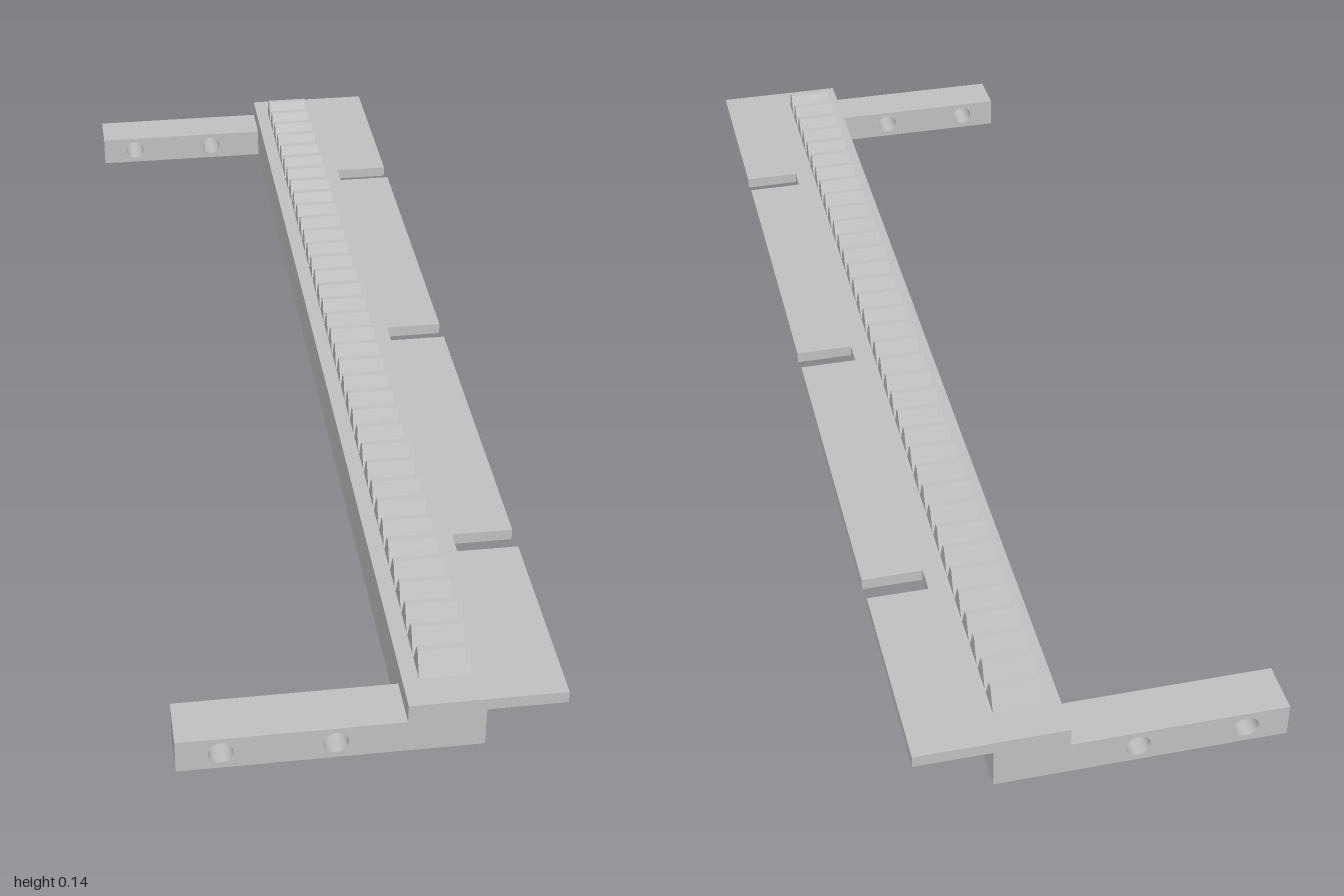
import * as THREE from 'three';

const HALF = 1.0925;    // half length of the bar
const FRONT = 0.322;    // depth to front edge and to the arm ends
const BACK = 0.057;     // back face of the bar
const BODY_TOP = 0.075;
const PLATE_TOP = 0.097;
const TOOTH_TOP = 0.14;

export function createModel() {
  const grey = new THREE.MeshStandardMaterial({ color: 0xc0c0c0 });
  grey.name = 'grey';

  const model = new THREE.Group();
  model.name = 'toothedRack';
  // The whole rack lies diagonally
  const rack = new THREE.Group();
  rack.name = 'rack';
  rack.rotation.y = Math.PI / 4;
  model.add(rack);

  const add = (name, geometry) => {
    const mesh = new THREE.Mesh(geometry, grey);
    mesh.name = name;
    rack.add(mesh);
    return mesh;
  };

  // Long bar under the plate
  const bodyDepth = 0.13;
  add('bar', new THREE.BoxGeometry(HALF * 2, BODY_TOP, bodyDepth))
    .position.set(0, BODY_TOP / 2, BACK + bodyDepth / 2);

  // Top plate with three notches in its front edge
  const outline = new THREE.Shape();
  outline.moveTo(-HALF, BACK);
  outline.lineTo(HALF, BACK);
  outline.lineTo(HALF, FRONT);
  for (const x of [0.69, 0, -0.69]) {
    outline.lineTo(x + 0.024, FRONT);
    outline.lineTo(x + 0.024, 0.212);
    outline.lineTo(x - 0.024, 0.212);
    outline.lineTo(x - 0.024, FRONT);
  }
  outline.lineTo(-HALF, FRONT);
  const plate = new THREE.ExtrudeGeometry(outline, { depth: PLATE_TOP - BODY_TOP, bevelEnabled: false });
  plate.rotateX(Math.PI / 2);
  plate.translate(0, PLATE_TOP, 0);
  add('notchedPlate', plate);

  // Rear arms, each drilled with two cross holes
  const armWidth = 0.092;
  const side = new THREE.Shape();
  side.moveTo(-FRONT, 0);
  side.lineTo(BACK, 0);
  side.lineTo(BACK, 0.0625);
  side.lineTo(-FRONT, 0.0625);
  for (const z of [-0.248, -0.06]) {
    side.holes.push(new THREE.Path().absarc(z, 0.032, 0.021, 0, Math.PI * 2, true));
  }
  for (const [name, outer] of [['leftArm', HALF], ['rightArm', -HALF + armWidth]]) {
    const arm = new THREE.ExtrudeGeometry(side, { depth: armWidth, bevelEnabled: false, curveSegments: 24 });
    arm.rotateY(-Math.PI / 2);
    arm.translate(outer, 0, 0);
    add(name, arm);
  }

  // Row of tapered teeth with narrow flat tops
  const count = 36, pitch = 0.0574, base = 0.025, tip = 0.006;
  const profile = new THREE.Shape();
  profile.moveTo(-base, PLATE_TOP);
  profile.lineTo(base, PLATE_TOP);
  profile.lineTo(tip, TOOTH_TOP);
  profile.lineTo(-tip, TOOTH_TOP);
  const tooth = new THREE.ExtrudeGeometry(profile, { depth: 0.088, bevelEnabled: false });
  for (let i = 0; i < count; i++) {
    add('tooth' + (i + 1), tooth).position.set((i - (count - 1) / 2) * pitch, 0, 0.085);
  }

  return model;
}
